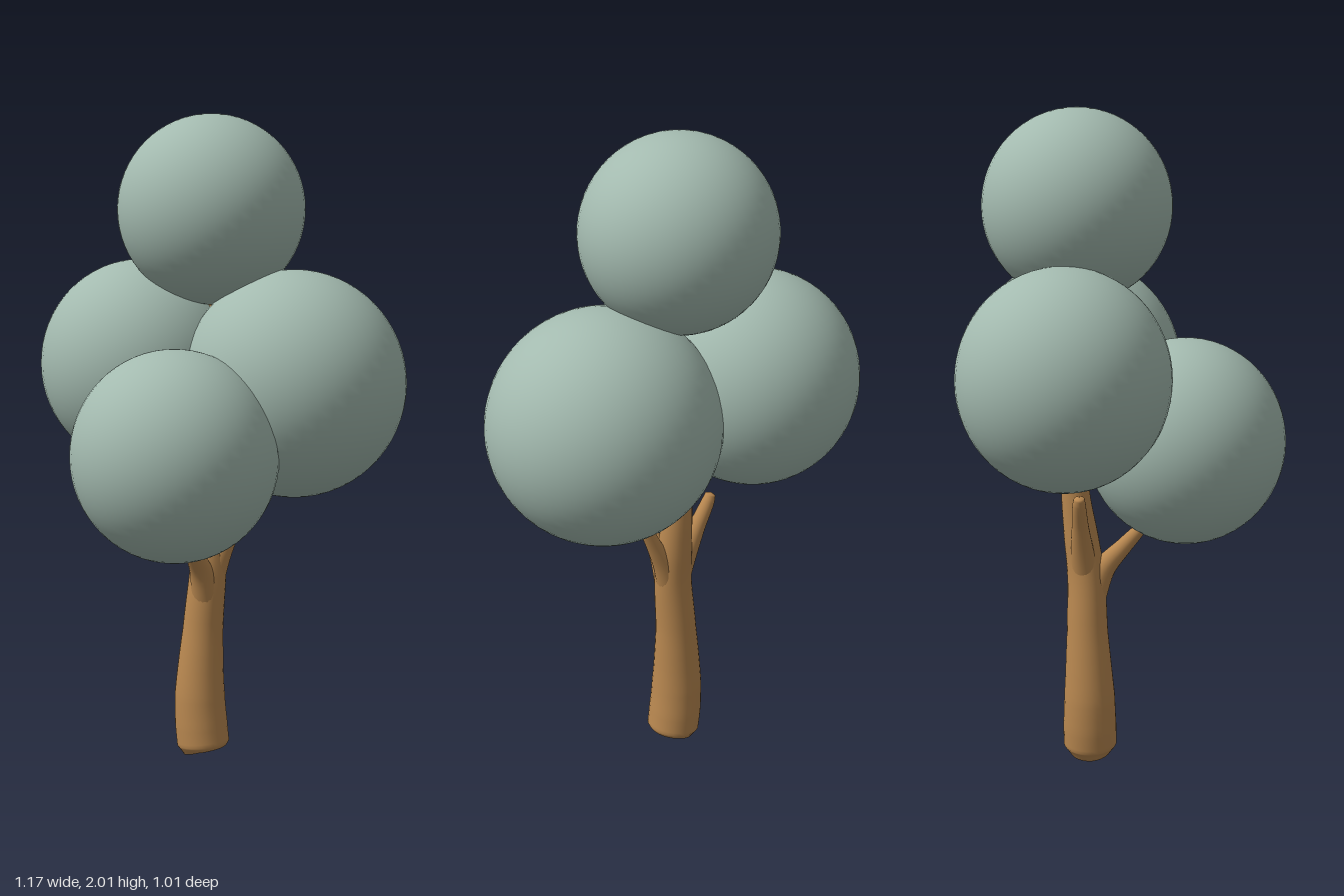
import * as THREE from 'three';

// Smooth round limb swept through [x, y, z, radius] stations
function limbGeometry(stations, sides = 20, steps = 5) {
  const curve = new THREE.CatmullRomCurve3(stations.map(([x, y, z]) => new THREE.Vector3(x, y, z)));
  const n = (stations.length - 1) * steps;
  const pos = [], index = [];
  for (let i = 0; i <= n; i++) {
    const k = Math.min(Math.floor(i / steps), stations.length - 2);
    const r = THREE.MathUtils.lerp(stations[k][3], stations[k + 1][3], i / steps - k);
    const c = curve.getPoint(i / n), t = curve.getTangent(i / n);
    const u = new THREE.Vector3(1, 0, 0).addScaledVector(t, -t.x).normalize();
    const w = new THREE.Vector3().crossVectors(t, u);
    for (let j = 0; j < sides; j++) {
      const a = (j / sides) * Math.PI * 2;
      const p = c.clone().addScaledVector(u, r * Math.cos(a)).addScaledVector(w, r * Math.sin(a));
      pos.push(p.x, p.y, p.z);
      if (i === n) continue;
      const A = i * sides + j, B = i * sides + (j + 1) % sides;
      index.push(A, B, A + sides, B, B + sides, A + sides);
    }
  }
  const g = new THREE.BufferGeometry();
  g.setAttribute('position', new THREE.Float32BufferAttribute(pos, 3));
  g.setIndex(index);
  g.computeVertexNormals();
  return g;
}

export function createModel() {
  const tree = new THREE.Group();
  tree.name = 'tree';
  const bark = new THREE.MeshStandardMaterial({ color: 0xb98850 });
  bark.name = 'bark brown';
  const leaf = new THREE.MeshStandardMaterial({ color: 0xa3baaf });
  leaf.name = 'sage green';

  const add = (name, geometry, material) => {
    const mesh = new THREE.Mesh(geometry, material);
    mesh.name = name;
    tree.add(mesh);
    return mesh;
  };

  // Leaning trunk with a rounded foot, hidden at the top by the foliage
  add('trunk', limbGeometry([
    [-0.022, 0.012, -0.087, 0.001], [-0.023, 0.014, -0.087, 0.066], [-0.026, 0.035, -0.087, 0.083],
    [-0.033, 0.1, -0.087, 0.083], [-0.038, 0.2, -0.087, 0.079], [-0.031, 0.4, -0.094, 0.064],
    [-0.017, 0.58, -0.1, 0.058], [-0.015, 0.7, -0.115, 0.053], [-0.017, 0.85, -0.132, 0.043],
    [-0.02, 1.1, -0.13, 0.035], [-0.02, 1.45, -0.12, 0.025], [-0.02, 1.46, -0.12, 0.001],
  ], 28), bark);

  // Short branches with rounded tips
  add('frontBranch', limbGeometry([
    [-0.016, 0.5, -0.085, 0.045], [-0.01, 0.6, -0.045, 0.036], [-0.004, 0.67, 0.015, 0.026],
    [0, 0.72, 0.06, 0.02], [0.001, 0.732, 0.07, 0.015], [0.001, 0.736, 0.073, 0.001],
  ]), bark);
  add('rightBranch', limbGeometry([
    [-0.02, 0.56, -0.1, 0.045], [-0.055, 0.66, -0.105, 0.036], [-0.095, 0.75, -0.105, 0.026],
    [-0.135, 0.83, -0.102, 0.02], [-0.143, 0.85, -0.1, 0.016], [-0.145, 0.856, -0.1, 0.001],
  ]), bark);
  add('leftBranch', limbGeometry([
    [-0.012, 0.55, -0.1, 0.045], [0.022, 0.65, -0.115, 0.034], [0.06, 0.73, -0.125, 0.024],
    [0.1, 0.82, -0.13, 0.018], [0.108, 0.843, -0.13, 0.014], [0.11, 0.85, -0.13, 0.001],
  ]), bark);

  // Round foliage: name, centre, radii
  const sphere = new THREE.SphereGeometry(1, 48, 32);
  [
    ['topFoliage', [-0.018, 1.712, -0.122], [0.288, 0.288, 0.284]],
    ['rightFoliage', [-0.268, 1.23, -0.124], [0.32, 0.327, 0.314]],
    ['leftFoliage', [0.24, 1.188, -0.172], [0.345, 0.347, 0.336]],
    ['frontFoliage', [0.035, 1.0, 0.2], [0.309, 0.315, 0.306]],
  ].forEach(([name, centre, radii]) => {
    const ball = add(name, sphere, leaf);
    ball.position.set(...centre);
    ball.scale.set(...radii);
  });
  return tree;
}
